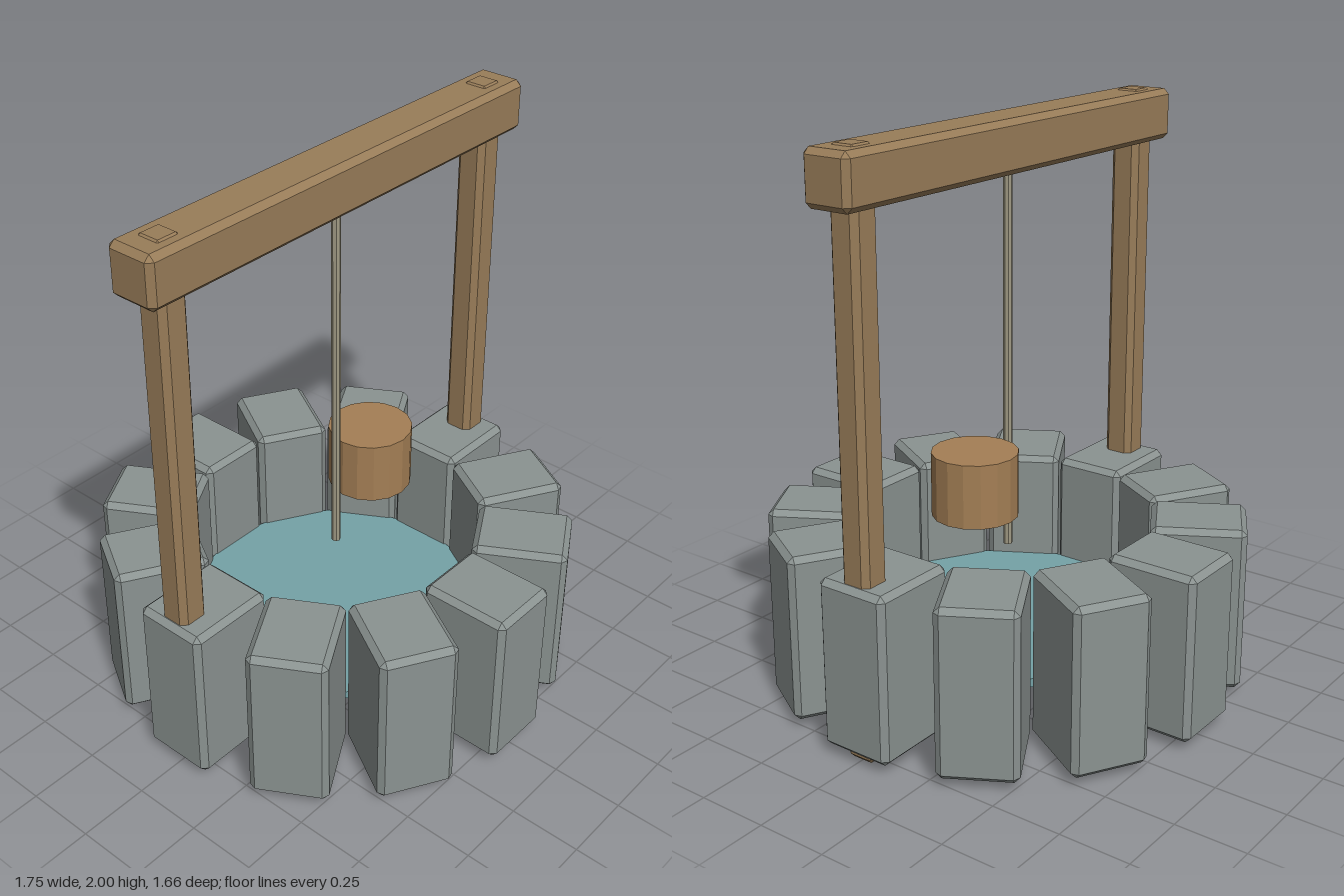
import * as THREE from 'three';
import { ConvexGeometry } from 'three/addons/geometries/ConvexGeometry.js';

function material(name, color) {
  const m = new THREE.MeshStandardMaterial({ color });
  m.name = name;
  return m;
}

// Box with every edge and corner cut flat by b
function chamferedBox(w, h, d, b) {
  const points = [];
  for (const sx of [-1, 1]) for (const sy of [-1, 1]) for (const sz of [-1, 1]) {
    const x = w / 2, y = h / 2, z = d / 2;
    points.push(
      new THREE.Vector3(sx * x, sy * (y - b), sz * (z - b)),
      new THREE.Vector3(sx * (x - b), sy * y, sz * (z - b)),
      new THREE.Vector3(sx * (x - b), sy * (y - b), sz * z),
    );
  }
  return new ConvexGeometry(points);
}

export function createModel() {
  const stone = material('grey stone', 0x8b9391);
  const wood = material('brown wood', 0x997d59);
  const bucketWood = material('bucket wood', 0xa47f55);
  const ropeFibre = material('rope fibre', 0xa09a84);
  const waterBlue = material('water blue', 0x75a2a7);
  for (const m of [bucketWood, ropeFibre, waterBlue]) m.flatShading = true;

  const model = new THREE.Group();
  model.name = 'well';
  const add = (name, geometry, mat, x, y, z, parent = model) => {
    const mesh = new THREE.Mesh(geometry, mat);
    mesh.name = name;
    mesh.position.set(x, y, z);
    parent.add(mesh);
    return mesh;
  };

  // Ring of twelve upright stones
  const ring = new THREE.Group();
  ring.name = 'stoneRing';
  model.add(ring);
  const block = chamferedBox(0.27, 0.595, 0.33, 0.02);
  for (let i = 0; i < 12; i++) {
    const a = (i / 12) * Math.PI * 2;
    const mesh = add('stone', block, stone, Math.sin(a) * 0.665, 0.328, Math.cos(a) * 0.665, ring);
    mesh.rotation.y = a;
  }

  // Water inside the ring
  add('water', new THREE.CylinderGeometry(0.52, 0.52, 0.03, 24), waterBlue, 0, 0.215, 0);

  // Timber frame: posts run through the stones and just through the beam
  const post = chamferedBox(0.11, 2, 0.11, 0.02);
  for (const side of [-1, 1]) add(side > 0 ? 'leftPost' : 'rightPost', post, wood, side * 0.752, 1, 0);
  add('beam', chamferedBox(1.745, 0.18, 0.18, 0.02), wood, 0, 1.904, 0);

  // Rope and bucket
  add('rope', new THREE.CylinderGeometry(0.016, 0.016, 1.34, 8), ropeFibre, 0, 1.16, 0);
  add('bucket', new THREE.CylinderGeometry(0.149, 0.149, 0.225, 16), bucketWood, 0.185, 0.778, 0);

  return model;
}
